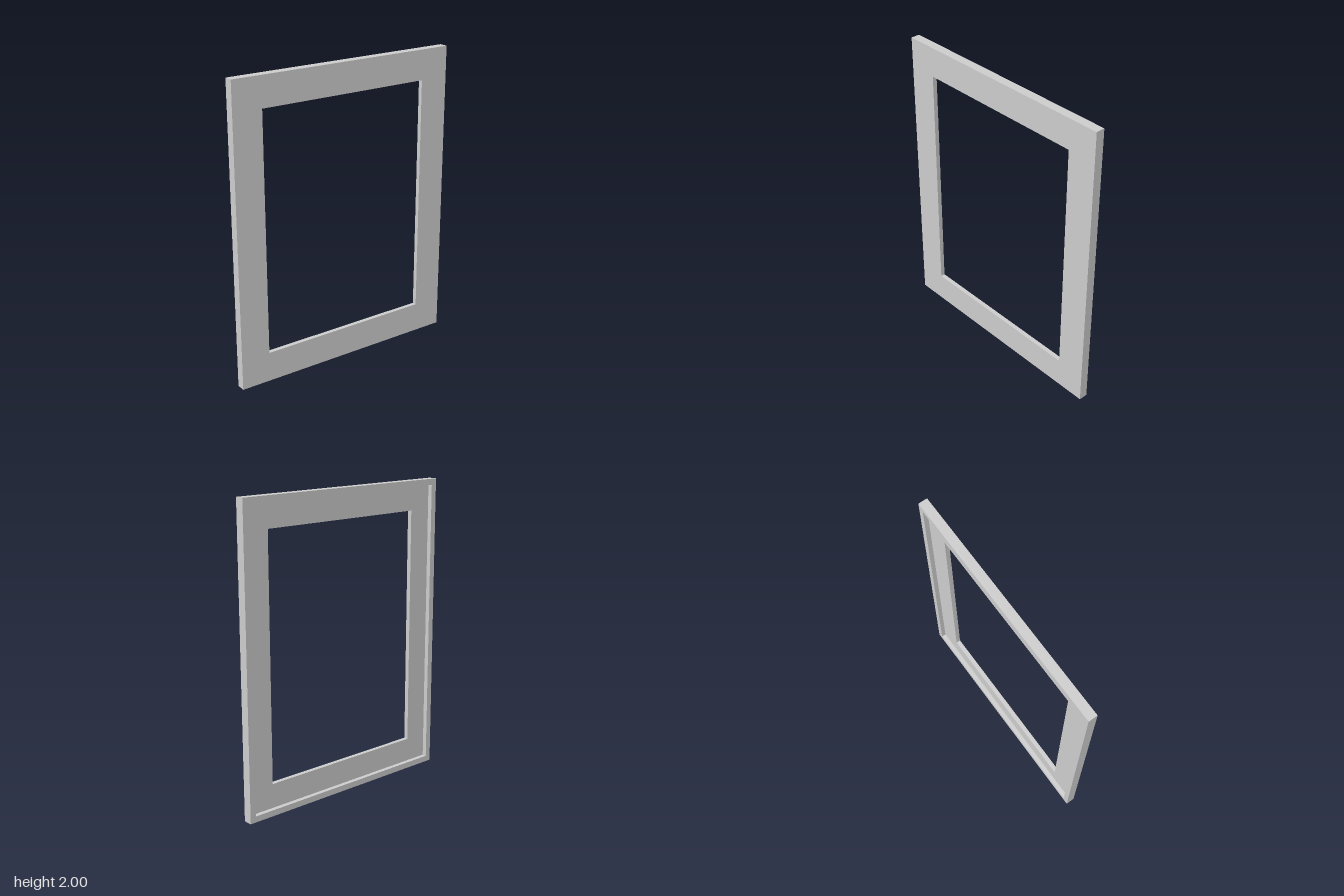
import * as THREE from 'three';

const HALF_W = 0.8, HALF_H = 1;

// Cross-section of the moulding: [inset from outer edge, z], with a rebate at the back
const PROFILE = [
  [0, 0.03], [0.2, 0.03], [0.2, 0], [0.04, 0], [0.04, -0.03], [0, -0.03],
];
const CORNERS = [[-1, -1], [1, -1], [1, 1], [-1, 1]];

// Sweeps the profile around the rectangle with mitred corners and hard edges
function mitredFrame() {
  const point = ([inset, z], [sx, sy]) =>
    [sx * (HALF_W - inset), HALF_H + sy * (HALF_H - inset), z];
  const positions = [];
  CORNERS.forEach((corner, j) => {
    const nextCorner = CORNERS[(j + 1) % CORNERS.length];
    PROFILE.forEach((p, i) => {
      const q = PROFILE[(i + 1) % PROFILE.length];
      const a = point(p, corner), b = point(p, nextCorner);
      const c = point(q, nextCorner), d = point(q, corner);
      positions.push(...a, ...b, ...c, ...a, ...c, ...d);
    });
  });
  const geometry = new THREE.BufferGeometry();
  geometry.setAttribute('position', new THREE.Float32BufferAttribute(positions, 3));
  geometry.computeVertexNormals();
  return geometry;
}

export function createModel() {
  const group = new THREE.Group();
  group.name = 'pictureFrame';
  const material = new THREE.MeshStandardMaterial({ color: 0xcccccc });
  const frame = new THREE.Mesh(mitredFrame(), material);
  frame.name = 'frameMoulding';
  group.add(frame);
  return group;
}
